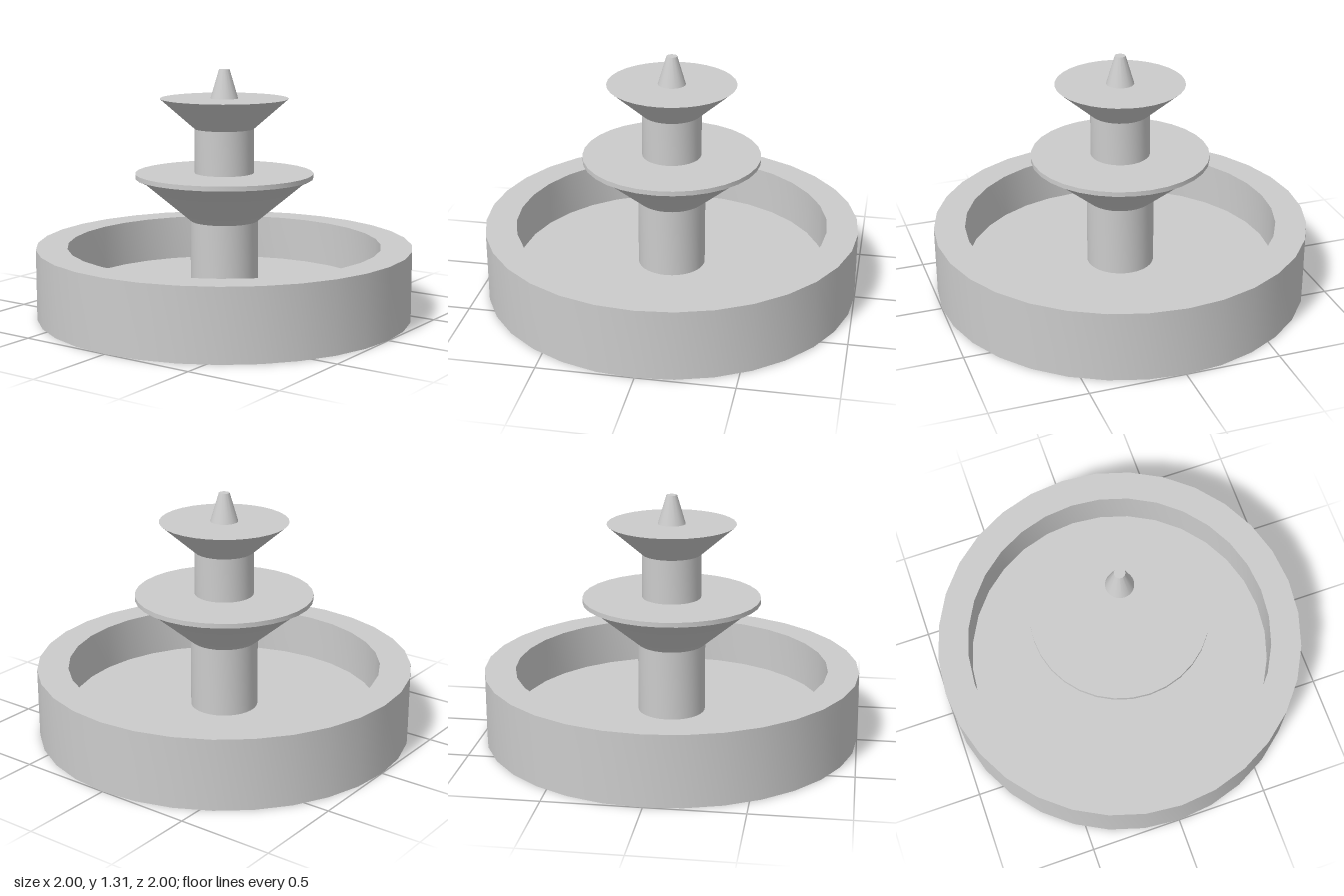
import * as THREE from 'three';
import { toCreasedNormals } from 'three/addons/utils/BufferGeometryUtils.js';

const SIDES = 32;
const material = new THREE.MeshStandardMaterial({ color: 0xcccccc, side: THREE.DoubleSide });

// Turned part from [radius, height] pairs, listed from the outside bottom upwards
function turned(name, profile) {
  const points = profile.map(([r, y]) => new THREE.Vector2(r, y));
  const geometry = toCreasedNormals(new THREE.LatheGeometry(points, SIDES), 0.3);
  const mesh = new THREE.Mesh(geometry, material);
  mesh.name = name;
  return mesh;
}

export function createModel() {
  const fountain = new THREE.Group();
  fountain.name = 'fountain';

  fountain.add(
    // Outer wall, flat rim, inner wall and raised floor; open underneath
    turned('basin', [[1, 0], [1, 0.375], [0.835, 0.375], [0.835, 0.13], [0.18, 0.13]]),
    // Hollow pedestal, open at the floor
    turned('pedestal', [[0.18, 0.13], [0.18, 0.505]]),
    // Large bowl with a thin upright lip and a level top
    turned('lowerBowl', [[0.18, 0.505], [0.43, 0.715], [0.473, 0.735], [0.473, 0.76], [0.157, 0.76]]),
    turned('column', [[0.157, 0.76], [0.157, 0.995]]),
    // Small bowl with a sharp edge
    turned('upperBowl', [[0.157, 0.995], [0.34, 1.155], [0.073, 1.155]]),
    // Tapered nozzle, closed at the tip
    turned('spout', [[0.073, 1.155], [0.028, 1.307], [0, 1.307]]),
  );
  return fountain;
}
